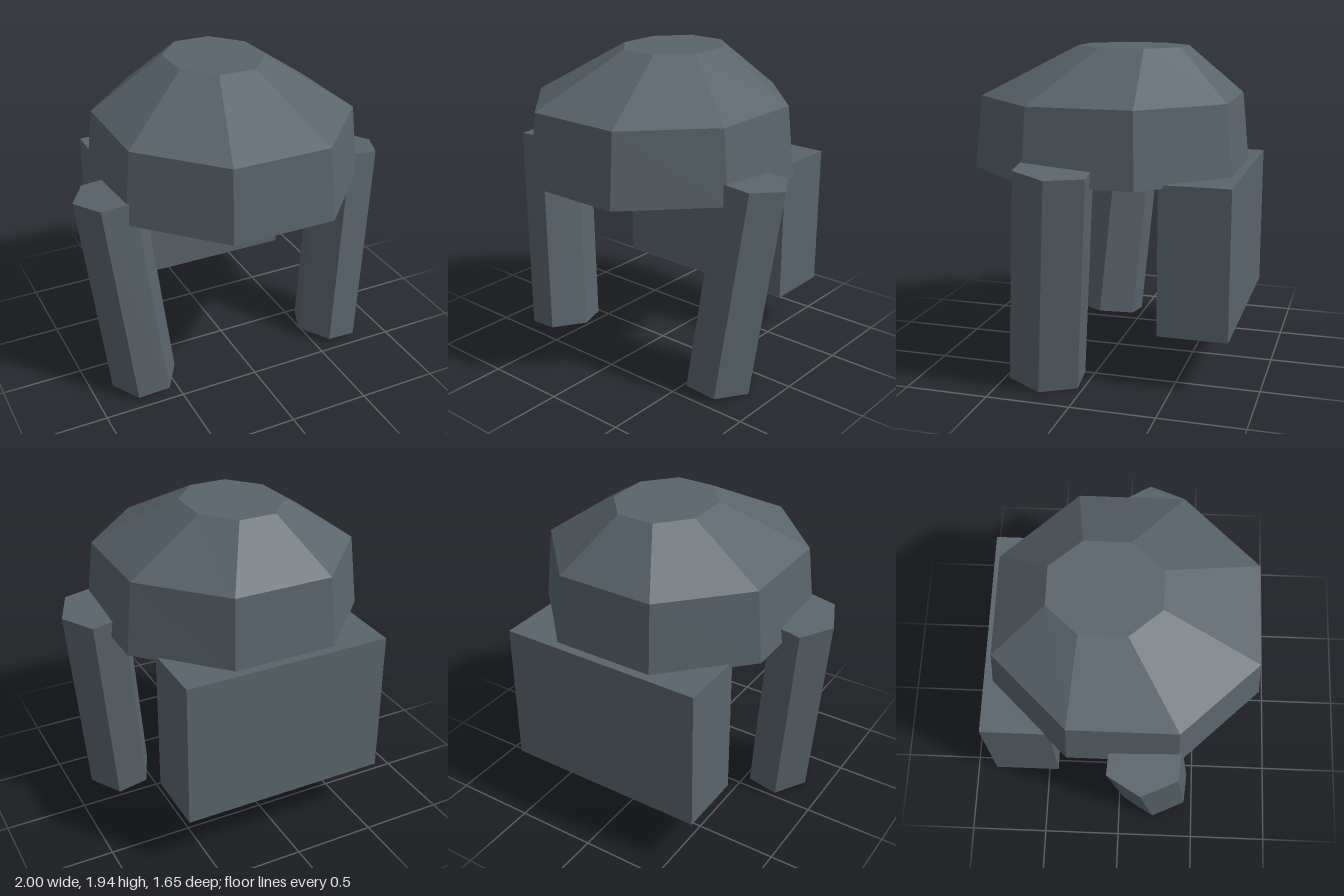
import * as THREE from 'three';

// Flat-faced solid through stacked rings of [x, y, z] corners (each running +x towards +z), capped at both ends
function loft(rings) {
  const pos = [];
  const tri = (a, b, c) => pos.push(...a, ...b, ...c);
  const n = rings[0].length;
  for (let r = 0; r < rings.length - 1; r++) {
    const lo = rings[r], hi = rings[r + 1];
    for (let i = 0; i < n; i++) {
      const j = (i + 1) % n;
      tri(lo[i], hi[i], hi[j]);
      tri(lo[i], hi[j], lo[j]);
    }
  }
  const bottom = rings[0], top = rings[rings.length - 1];
  for (let i = 1; i < n - 1; i++) {
    tri(bottom[0], bottom[i], bottom[i + 1]);
    tri(top[0], top[i + 1], top[i]);
  }
  const g = new THREE.BufferGeometry();
  g.setAttribute('position', new THREE.Float32BufferAttribute(pos, 3));
  g.computeVertexNormals();
  return g;
}

// Octagon: half width x, half depth z, corner positions cx / cz, centre depth z0
function octagon(y, x, z, cx, cz, z0) {
  return [[x, -cz], [x, cz], [cx, z], [-cx, z], [-x, cz], [-x, -cz], [-cx, -z], [cx, -z]]
    .map(([px, pz]) => [px, y, pz + z0]);
}

export function createModel() {
  const model = new THREE.Group();
  const slate = new THREE.MeshStandardMaterial({ color: 0x59646b, flatShading: true });
  slate.name = 'slateGrey';

  const add = (name, geometry) => {
    const mesh = new THREE.Mesh(geometry, slate);
    mesh.name = name;
    model.add(mesh);
    return mesh;
  };

  // Faceted dome, its crown set slightly back
  add('dome', loft([
    octagon(1.2, 0.765, 0.798, 0.318, 0.33, 0.023),
    octagon(1.64, 0.72, 0.755, 0.302, 0.313, 0.022),
    octagon(1.94, 0.277, 0.32, 0.116, 0.135, -0.1),
  ]));

  // Pack behind the dome
  add('backBlock', new THREE.BoxGeometry(1.275, 0.89, 0.415)).position.set(0, 0.775, -0.62);

  // Leaning hexagonal legs, ends cut square to the lean
  const hex = [[0.205, -0.015], [0.11, 0.2], [-0.085, 0.215], [-0.205, 0.015], [-0.11, -0.2], [0.085, -0.215]];
  const legRing = (cx, cy, cz, side) => {
    const ring = hex.map(([dx, dz]) => [side * (cx + dx), cy - 0.105 * dx + 0.078 * dz, cz + dz]);
    return side < 0 ? ring.reverse() : ring;
  };
  for (const side of [1, -1]) {
    add(side > 0 ? 'leftLeg' : 'rightLeg', loft([
      legRing(0.66, 0.026, 0.247, side),
      legRing(0.795, 1.307, 0.147, side),
    ]));
  }

  return model;
}
